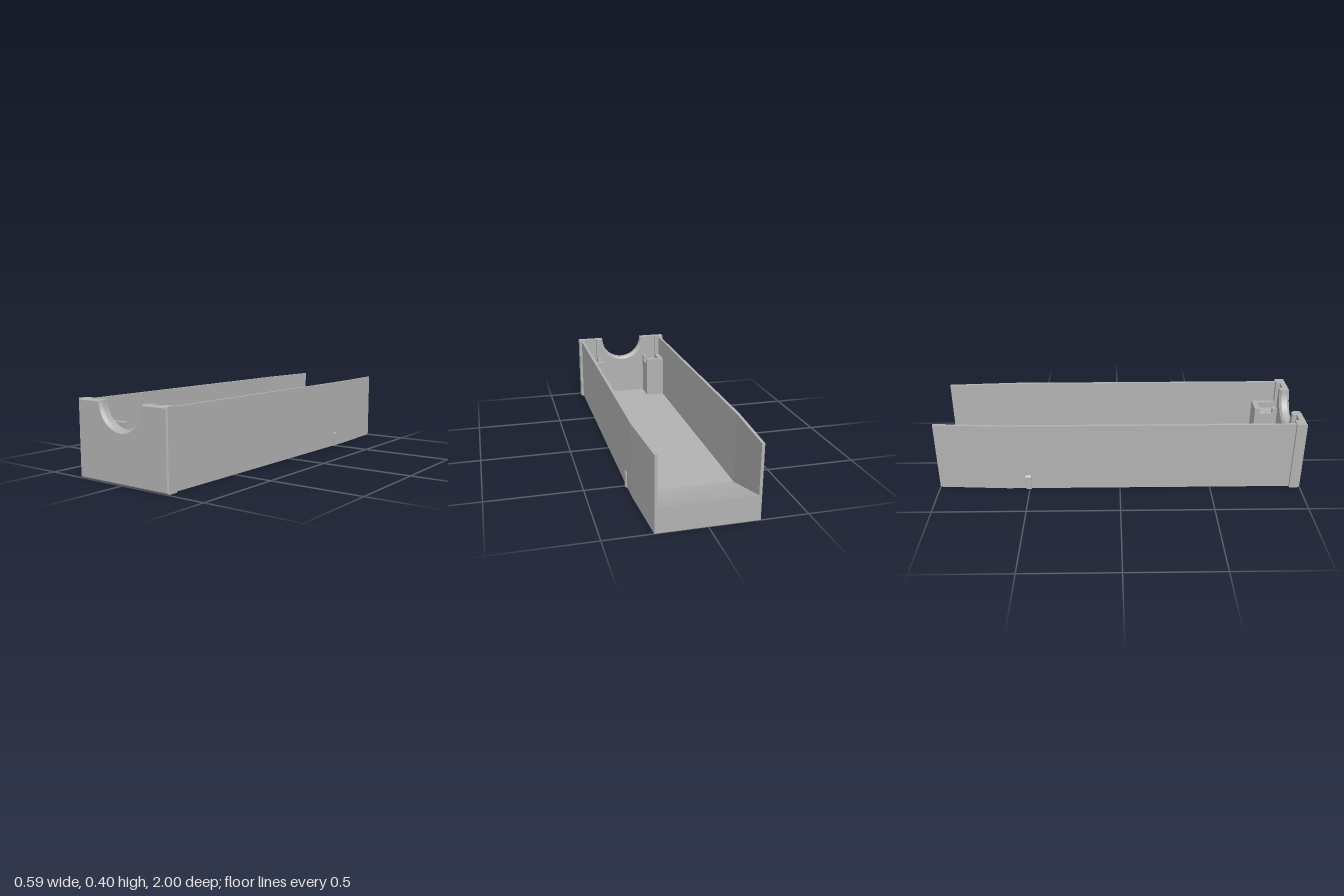
import * as THREE from 'three';
import { toCreasedNormals } from 'three/addons/utils/BufferGeometryUtils.js';

const grey = new THREE.MeshStandardMaterial({ color: 0xb2b2b2 });
grey.name = 'plain grey';

// Joins equal-length outlines (anticlockwise seen from +z), one per z, and caps both ends
function loft(rows) {
  const n = rows[0].points.length;
  const pos = [], idx = [];
  for (const { z, points } of rows) for (const p of points) pos.push(p.x, p.y, z);
  for (let k = 0; k < rows.length - 1; k++) {
    for (let i = 0; i < n; i++) {
      const a = k * n + i, b = k * n + (i + 1) % n;
      idx.push(a, b, b + n, a, b + n, a + n);
    }
  }
  const last = (rows.length - 1) * n;
  for (const [a, b, c] of THREE.ShapeUtils.triangulateShape(rows[0].points, [])) idx.push(a, c, b);
  for (const [a, b, c] of THREE.ShapeUtils.triangulateShape(rows[rows.length - 1].points, [])) {
    idx.push(last + a, last + b, last + c);
  }
  const geo = new THREE.BufferGeometry();
  geo.setAttribute('position', new THREE.Float32BufferAttribute(pos, 3));
  geo.setIndex(idx);
  return toCreasedNormals(geo, 0.35);
}

// Rectangle with a round bite of radius r out of its top edge
function biteOutline(w, y0, y1, r) {
  const centre = 0.395, steps = 40;
  const start = -Math.asin((centre - y1) / r);
  const points = [new THREE.Vector2(-w, y0), new THREE.Vector2(w, y0), new THREE.Vector2(w, y1)];
  for (let i = 0; i <= steps; i++) {
    const a = start + (-Math.PI - 2 * start) * i / steps;
    points.push(new THREE.Vector2(r * Math.cos(a), centre + r * Math.sin(a)));
  }
  points.push(new THREE.Vector2(-w, y1));
  return points;
}

function rectOutline(w, y1) {
  return [[-w, 0], [w, 0], [w, y1], [-w, y1]].map(([x, y]) => new THREE.Vector2(x, y));
}

export function createModel() {
  const model = new THREE.Group();
  model.name = 'tray';

  const add = (name, geo, parent = model) => {
    const mesh = new THREE.Mesh(geo, grey);
    mesh.name = name;
    parent.add(mesh);
    return mesh;
  };
  // Box between two corners, mirrored in x when side is -1
  const addBox = (name, side, [x0, x1], [y0, y1], [z0, z1], parent) => {
    const geo = new THREE.BoxGeometry(x1 - x0, y1 - y0, z1 - z0);
    geo.translate(side * (x0 + x1) / 2, (y0 + y1) / 2, (z0 + z1) / 2);
    add(name, geo, parent);
  };

  // Floor, rising to a ramp at the back
  add('floorWithRamp', loft([
    { z: -1, points: rectOutline(0.241, 0.131) },
    { z: -0.62, points: rectOutline(0.262, 0.014) },
    { z: -0.6, points: rectOutline(0.262, 0.014) },
    { z: 0.945, points: rectOutline(0.262, 0.014) },
  ]));

  // Front plate with bevelled rim and bevelled round opening
  add('frontPlate', loft([
    { z: 0.965, points: biteOutline(0.293, 0, 0.395, 0.133) },
    { z: 0.986, points: biteOutline(0.293, 0, 0.395, 0.133) },
    { z: 0.993, points: biteOutline(0.293, 0.001, 0.395, 0.14) },
    { z: 1, points: biteOutline(0.287, 0.008, 0.388, 0.147) },
  ]));
  add('frontPlateBacking', loft([
    { z: 0.942, points: biteOutline(0.175, 0, 0.395, 0.146) },
    { z: 0.954, points: biteOutline(0.175, 0, 0.395, 0.133) },
    { z: 0.965, points: biteOutline(0.175, 0, 0.395, 0.133) },
  ]));

  for (const side of [1, -1]) {
    const label = side > 0 ? 'left' : 'right';

    // Side wall, tapering inwards at the back
    const plan = new THREE.Shape([
      [0.278, 0.945], [0.278, -0.62], [0.256, -1], [0.241, -1], [0.262, -0.62], [0.262, 0.945],
    ].map(([x, z]) => new THREE.Vector2(side * x, -z)));
    const wall = new THREE.ExtrudeGeometry(plan, { depth: 0.389, bevelEnabled: false });
    add(label + 'Wall', wall.rotateX(-Math.PI / 2));

    // Small rib with a sloping top on the outside of the wall
    const profile = new THREE.Shape([
      [0.276, 0], [0.286, 0], [0.286, 0.075], [0.276, 0.086],
    ].map(([x, y]) => new THREE.Vector2(side * x, y)));
    const rib = new THREE.ExtrudeGeometry(profile, { depth: 0.03, bevelEnabled: false });
    add(label + 'Rib', rib.translate(0, 0, -0.52));

    // Plate ends beside the vertical groove
    addBox(label + 'PlateEnd', side, [0.238, 0.293], [0, 0.395], [0.942, 0.965]);
    addBox(label + 'GrooveBase', side, [0.175, 0.238], [0, 0.235], [0.942, 0.965]);

    // Post with a pocket open to the middle and a slot towards the plate
    const post = new THREE.Group();
    post.name = label + 'Post';
    model.add(post);
    const top = [0.235, 0.268];
    addBox('postBase', side, [0.148, 0.262], [0.014, 0.235], [0.81, 0.942], post);
    addBox('pocketBackRim', side, [0.148, 0.262], top, [0.81, 0.84], post);
    addBox('pocketOuterRim', side, [0.232, 0.262], top, [0.84, 0.915], post);
    addBox('slotOuterRim', side, [0.238, 0.262], top, [0.915, 0.942], post);
    addBox('slotInnerRim', side, [0.148, 0.175], top, [0.915, 0.942], post);
  }
  return model;
}
